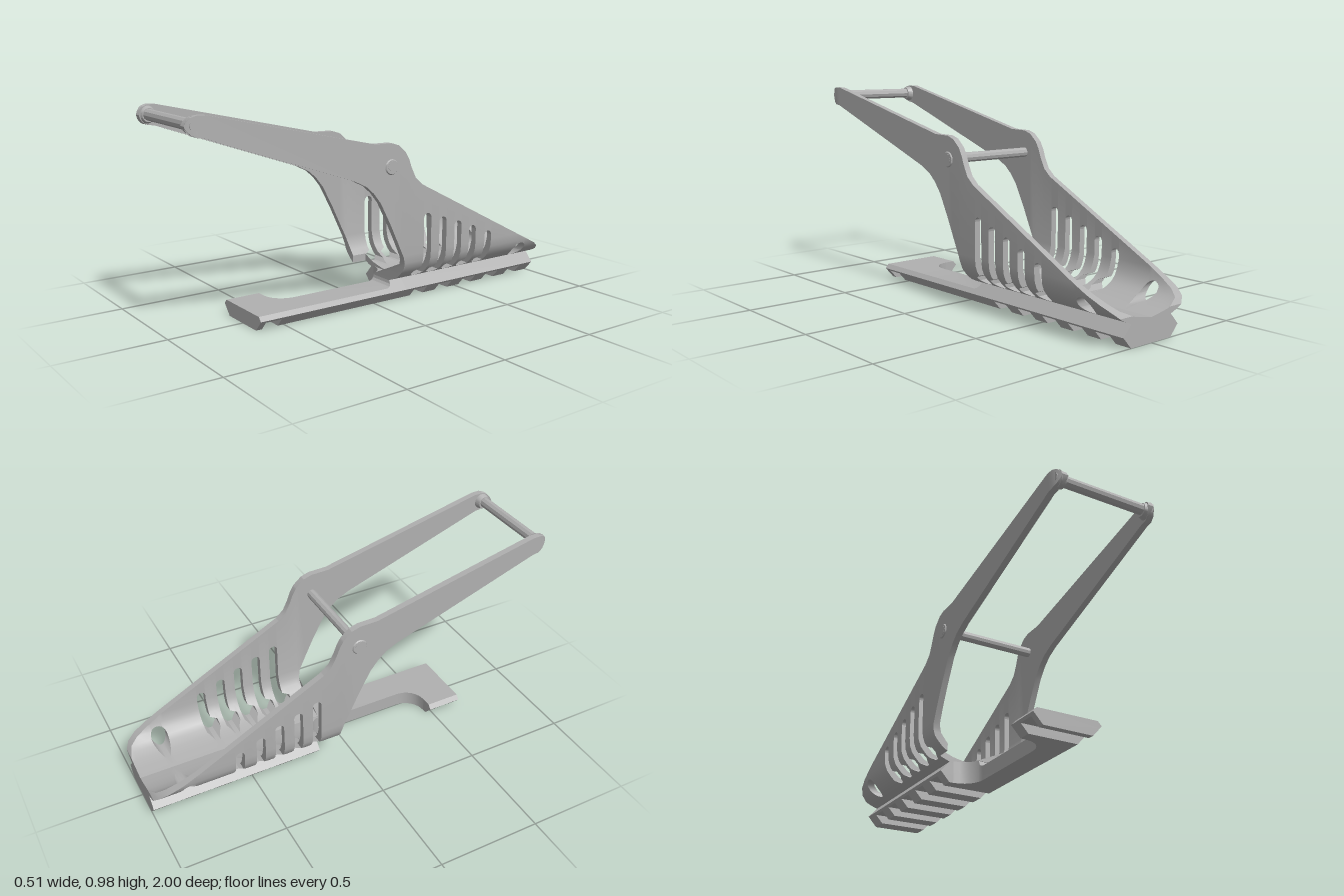
import * as THREE from 'three';
import { toCreasedNormals, mergeGeometries } from 'three/addons/utils/BufferGeometryUtils.js';

// Piecewise linear lookup in a list of [key, value]
function lookup(table, k) {
  for (let i = 1; i < table.length; i++) {
    const [a, va] = table[i - 1], [b, vb] = table[i];
    if (k <= b) return va + (vb - va) * Math.max(0, (k - a) / (b - a));
  }
  return table[table.length - 1][1];
}

// Closed solid through rings { z, pts } (counter-clockwise seen from +z, z increasing)
function loft(rings) {
  const pos = [], n = rings[0].pts.length;
  const A = new THREE.Vector3(), B = new THREE.Vector3(), C = new THREE.Vector3();
  const tri = (a, b, c) => {
    A.set(...a); B.set(...b); C.set(...c);
    if (B.clone().sub(A).cross(C.clone().sub(A)).length() > 1e-9) pos.push(...a, ...b, ...c);
  };
  const quad = (a, b, c, d) => { tri(a, b, c); tri(a, c, d); };
  const at = (r, i) => [...rings[r].pts[i % n], rings[r].z];
  const last = rings.length - 1;
  for (let r = 0; r < last; r++)
    for (let i = 0; i < n; i++) quad(at(r, i), at(r, i + 1), at(r + 1, i + 1), at(r + 1, i));
  for (let i = 0; i < n / 2 - 1; i++) {
    quad(at(last, i), at(last, i + 1), at(last, n - 2 - i), at(last, n - 1 - i));
    quad(at(0, n - 1 - i), at(0, n - 2 - i), at(0, i + 1), at(0, i));
  }
  const g = new THREE.BufferGeometry();
  g.setAttribute('position', new THREE.Float32BufferAttribute(pos, 3));
  return g;
}

// Side outline of the cradle and arms: upper and lower edge, [z, y]
const upperEdge = [[-1, .13], [-.98, .155], [-.94, .18], [-.9, .2], [-.85, .225], [-.18, .575], [-.14, .61],
  [-.115, .66], [-.1, .7], [-.08, .735], [-.04, .77], [0, .783], [.09, .785], [.91, .975], [.95, .976],
  [.975, .968], [.99, .952], [.998, .935]];
const lowerEdge = [[-1, .1], [-.085, .1], [-.0849, .2], [-.075, .24], [0, .4], [.06, .515], [.1, .565],
  [.14, .6], [.2, .63], [.92, .884], [.95, .888], [.975, .9], [.99, .917], [.998, .935]];

// U-shaped cross-section: [y, inner x, outer x]
const section = [[.1, 0, .12], [.107, 0, .14], [.115, .05, .16], [.125, .1, .18], [.14, .14, .2],
  [.155, .17, .215], [.18, .195, .235], [.21, .21, .246], [.25, .22, .25], [1, .22, .25]];
const innerTable = section.map(s => [s[0], s[1]]);
const outerTable = section.map(s => [s[0], s[2]]);

function shellRing(side, z, lo, hi, clip) {
  const ys = section.map(s => Math.min(Math.max(s[0], lo), hi));
  const bend = z > .94 ? .02 * ((z - .94) / .058) ** 2 : 0;
  const outer = ys.map(y => [side * (lookup(outerTable, y) - bend), y]);
  const inner = ys.map(y => [side * (Math.max(lookup(innerTable, y), clip) - bend), y]);
  const pts = [...outer, ...inner.reverse()];
  return { z, pts: side > 0 ? pts : pts.reverse() };
}

// Openings in the side walls, each a z range with lower and upper limit
const openings = [];
const holeR = .04, holeZ = -.84, holeY = .155;
const arc = (r, d) => Math.sqrt(Math.max(0, r * r - d * d));
openings.push({
  z0: holeZ - holeR, z1: holeZ + holeR,
  lo: z => holeY - arc(holeR, z - holeZ), hi: z => holeY + arc(holeR, z - holeZ),
});
[[-.6, .295], [-.497, .337], [-.403, .373], [-.308, .405], [-.214, .435]].forEach(([c, top]) => {
  const r = .022;
  openings.push({ z0: c - r, z1: c + r, lo: z => .117 + .015 * Math.max(0, (c - z) / r),
    hi: z => top - r + arc(r, z - c) });
  // Short foot widening the slot towards the front
  openings.push({ z0: c + r, z1: c + .053, lo: z => .117 + .018 * (z - c - r) / .031,
    hi: z => .165 - .012 * (z - c - r) / .031 });
});

function shellSide(side) {
  const parts = [];
  const edges = [...upperEdge, ...lowerEdge].map(p => p[0]);
  const run = (z0, z1, lo, hi, clip = 0, extra = 0) => {
    const zs = [z0, z1, ...edges.filter(z => z > z0 && z < z1)];
    for (let i = 1; i < extra; i++) zs.push((z0 + z1) / 2 - Math.cos(Math.PI * i / extra) * (z1 - z0) / 2);
    zs.sort((a, b) => a - b);
    parts.push(loft(zs.map(z => shellRing(side, z, lo(z), hi(z), clip))));
  };
  const bottom = z => lookup(lowerEdge, z), top = z => lookup(upperEdge, z);
  let from = -1;
  for (const o of openings) {
    if (o.z0 - from > 1e-6) run(from, o.z0, bottom, top);
    run(o.z0, o.z1, bottom, o.lo, 0, 10);
    run(o.z0, o.z1, o.hi, top, 0, 10);
    from = o.z1;
  }
  if (side > 0) run(from, .998, bottom, top);
  else { // the right floor is cut back at the front
    run(from, -.16, bottom, top);
    run(-.16, .998, z => Math.max(.12, bottom(z)), top, .17);
  }
  return mergeGeometries(parts);
}

// Mounting rail: hexagonal bar with cross notches and a cut-away middle
function railGeometry() {
  const parts = [];
  const prism = (z0, z1, pts) => parts.push(loft([{ z: z0, pts }, { z: z1, pts }]));
  const upper = (top, w) => [[-.156, .04], [.156, .04], [.165, .05], [w, top], [-w, top], [-.165, .05]];
  const lower = [[-.12, 0], [.12, 0], [.156, .04], [-.156, .04]];
  prism(-1, -.16, upper(.1, .12));
  prism(.47, .64, upper(.07, .147));
  let from = -1;
  for (const c of [-.88, -.725, -.568, -.412, -.255]) { prism(from, c - .04, lower); from = c + .04; }
  prism(from, -.16, lower);
  prism(.47, .53, lower);
  prism(.61, .64, lower);

  const zs = [-.16, -.155, -.145, -.13, -.11, -.09, -.085, -.075, -.06, .37, .4, .42, .44, .455, .465, .47];
  const topTable = [[-.16, .105], [-.09, .105], [-.085, .085], [-.075, .075], [-.06, .07], [.47, .07]];
  parts.push(loft(zs.map(z => {
    const d = Math.min(z + .16, .47 - z, .1);
    const x = -.1 + arc(.1, .1 - d), top = lookup(topTable, z);
    return { z, pts: [[x, 0], [.12, 0], [.165, .05], [.165 - .9 * (top - .05), top], [x, top], [x, .05]] };
  })));
  return mergeGeometries(parts);
}

export function createModel() {
  const model = new THREE.Group();
  model.name = 'railMountedCradle';
  const grey = new THREE.MeshStandardMaterial({ color: 0xb0b0b0 });
  grey.name = 'grey';
  const add = (name, geometry) => {
    const mesh = new THREE.Mesh(geometry, grey);
    mesh.name = name;
    model.add(mesh);
    return mesh;
  };
  // Cylinder lying along x
  const crossBar = (name, x, y, z, rPlus, rMinus, length, sides) => {
    const g = new THREE.CylinderGeometry(rPlus, rMinus, length, sides);
    const mesh = add(name, toCreasedNormals(g.rotateZ(-Math.PI / 2), .5));
    mesh.position.set(x, y, z);
  };

  add('leftSide', toCreasedNormals(shellSide(1), .4));
  add('rightSide', toCreasedNormals(shellSide(-1), .4));
  add('mountingRail', toCreasedNormals(railGeometry(), .4));

  // Cross pins with their end details
  crossBar('pivotPin', 0, .678, 0, .023, .023, .512, 10);
  crossBar('handlePin', 0, .935, .955, .025, .025, .49, 10);
  for (const s of [1, -1]) {
    const name = s > 0 ? 'left' : 'right';
    crossBar(name + 'PivotCollar', s * .2525, .675, 0, s > 0 ? .032 : .036, s > 0 ? .036 : .032, .005, 20);
    crossBar(name + 'HandleBoss', s * .213, .933, .953, s > 0 ? .043 : .03, s > 0 ? .03 : .043, .034, 20);
  }
  return model;
}
